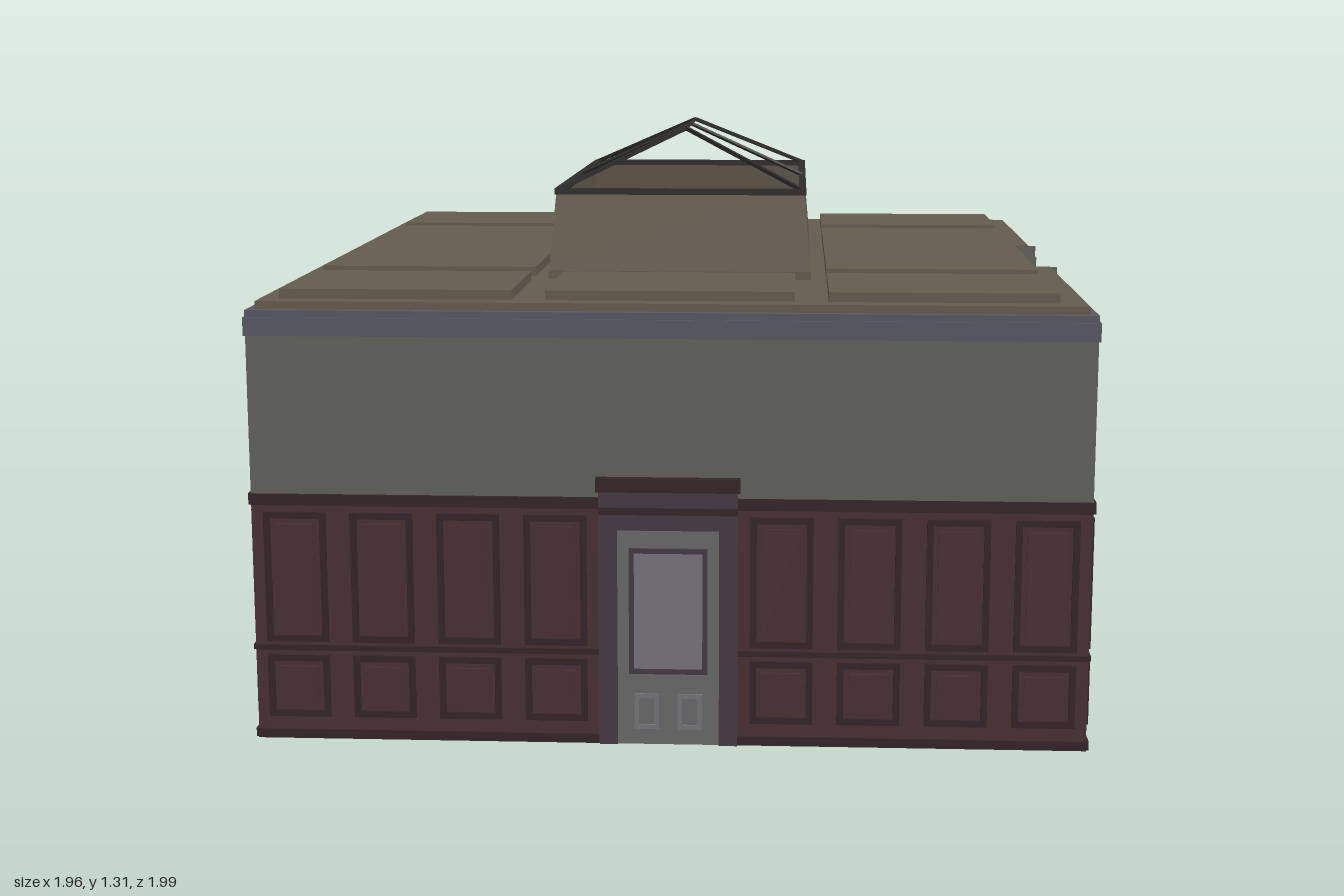
import * as THREE from 'three';

const mat = (color) => new THREE.MeshStandardMaterial({ color, side: THREE.DoubleSide, flatShading: true });
const M = {
  wood: mat(0x4a3135), trim: mat(0x352529), plaster: mat(0x62625c), cornice: mat(0x575862),
  roof: mat(0x655b4e), metal: mat(0x2e2d2b), floor: mat(0x2b2a2a), stone: mat(0x858580),
  door: mat(0x6b6a6b), doorWood: mat(0x4b2f1c), mauve: mat(0x463a43), brown: mat(0x40261c),
  glass: mat(0x77757a), lamp: mat(0xaaaaaa),
};
const HX = 0.905, HZ = 0.975, T = 0.02, RAIL = 0.55, TOP = 0.9;
const NOTCH = 0.235, BREAST = 0.835;

function add(parent, name, geo, material) {
  const m = new THREE.Mesh(geo, material);
  m.name = name;
  parent.add(m);
  return m;
}
// Box given by its limits on each axis
function box(parent, name, material, x0, x1, y0, y1, z0, z1) {
  const m = add(parent, name, new THREE.BoxGeometry(x1 - x0, y1 - y0, z1 - z0), material);
  m.position.set((x0 + x1) / 2, (y0 + y1) / 2, (z0 + z1) / 2);
  return m;
}
const rectPath = (x0, x1, y0, y1, C = THREE.Path) => new C(
  [[x0, y0], [x1, y0], [x1, y1], [x0, y1]].map((p) => new THREE.Vector2(...p)));
// Rectangular picture-frame moulding in the local xy plane
function frame(parent, name, material, x0, x1, y0, y1, w, z0, z1) {
  const s = rectPath(x0, x1, y0, y1, THREE.Shape);
  s.holes.push(rectPath(x0 + w, x1 - w, y0 + w, y1 - w));
  const m = add(parent, name, new THREE.ExtrudeGeometry(s, { depth: z1 - z0, bevelEnabled: false }), material);
  m.position.z = z0;
}
function rod(parent, name, a, b, r, material, sides = 4) {
  const p = new THREE.Vector3(...a), q = new THREE.Vector3(...b), d = q.clone().sub(p);
  const m = add(parent, name, new THREE.CylinderGeometry(r, r, d.length(), sides), material);
  m.position.copy(p).add(q).multiplyScalar(0.5);
  m.quaternion.setFromUnitVectors(new THREE.Vector3(0, 1, 0), d.normalize());
}
// Horizontal slab from a plan shape
function slab(parent, name, shape, y0, y1, material) {
  const g = new THREE.ExtrudeGeometry(shape, { depth: y1 - y0, bevelEnabled: false }).rotateX(-Math.PI / 2);
  add(parent, name, g, material).position.y = y0;
}
// Room plan with the chimney notch in its left side
function plan(grow) {
  const x = HX + grow, z = HZ + grow;
  return new THREE.Shape([[-x, -z], [x, -z], [x, -NOTCH], [BREAST, -NOTCH], [BREAST, NOTCH], [x, NOTCH], [x, z], [-x, z]]
    .map((p) => new THREE.Vector2(...p)));
}
// Wall piece, split into panelling and plaster; outer face at local z = 0
function wallPiece(g, x0, x1, y0, y1) {
  if (y0 < RAIL) box(g, 'wainscot', M.wood, x0, x1, y0, Math.min(y1, RAIL), -T, 0);
  if (y1 > RAIL) box(g, 'upperWall', M.plaster, x0, x1, Math.max(y0, RAIL), y1, -T, 0);
}
// Row of raised panels with rails above, between and below
function panelling(g, x0, x1, count, skip = () => false) {
  const step = (x1 - x0) / count;
  for (let i = 0; i < count; i++) {
    const a = x0 + i * step + step * 0.14, b = x0 + (i + 1) * step - step * 0.14;
    for (const [y0, y1] of [[0.05, 0.19], [0.22, 0.51]]) {
      if (y0 > 0.2 && skip(a, b)) continue;
      frame(g, 'panelMoulding', M.trim, a, b, y0, y1, 0.014, -T - 0.007, 0.007);
      box(g, 'panelField', M.wood, a + 0.026, b - 0.026, y0 + 0.026, y1 - 0.026, -T - 0.005, 0.005);
    }
  }
  box(g, 'skirting', M.trim, x0, x1, 0, 0.02, -T - 0.008, 0.006);
  if (count < 8) box(g, 'chairRail', M.trim, x0, x1, 0.525, RAIL, -T - 0.01, 0.006);
  box(g, 'middleRail', M.trim, x0, x1, 0.2, 0.212, -T - 0.006, 0.005);
}
function side(parent, name, angle, dist) {
  const g = new THREE.Group();
  g.name = name;
  g.rotation.y = angle;
  g.position.set(Math.sin(angle) * dist, 0, Math.cos(angle) * dist);
  parent.add(g);
  return g;
}
// End wall with a central door
function doorWall(parent, name, angle, leaf, pane) {
  const g = side(parent, name, angle, HZ);
  wallPiece(g, -HX, HX, 0, TOP);
  panelling(g, -HX, -0.15, 4);
  panelling(g, 0.15, HX, 4);
  for (const s of [-1, 1]) box(g, 'doorJamb', M.mauve, s * 0.13 - 0.02, s * 0.13 + 0.02, 0, 0.52, -T - 0.012, 0.012);
  box(g, 'doorHead', M.mauve, -0.15, 0.15, 0.48, 0.57, -T - 0.012, 0.012);
  box(g, 'doorCornice', M.trim, -0.155, 0.155, 0.565, 0.595, -T - 0.02, 0.02);
  box(g, 'doorLintel', M.trim, -0.15, 0.15, 0.515, 0.53, -T - 0.016, 0.016);
  box(g, 'doorLeaf', leaf, -0.11, 0.11, 0, 0.48, -T - 0.006, 0.006);
  frame(g, 'doorPaneFrame', M.mauve, -0.085, 0.085, 0.16, 0.44, 0.011, -T - 0.011, 0.011);
  box(g, 'doorPane', pane, -0.074, 0.074, 0.171, 0.429, -T - 0.008, 0.008);
  for (const s of [-1, 1]) frame(g, 'doorPanel', pane, s * 0.047 - 0.027, s * 0.047 + 0.027, 0.035, 0.115, 0.01, -T - 0.01, 0.01);
}
// Window bay projecting from the wall, open between the bars
function windowBay(g, c) {
  const w = 0.125, y0 = 0.25, y1 = 0.77;
  frame(g, 'windowCasing', M.wood, c - w, c + w, y0, y1, 0.022, -T - 0.01, 0.06);
  frame(g, 'windowFrame', M.trim, c - w + 0.015, c + w - 0.015, y0 + 0.015, y1 - 0.015, 0.02, 0.045, 0.072);
  box(g, 'windowHead', M.trim, c - w - 0.01, c + w + 0.01, y1 - 0.03, y1 + 0.01, -T - 0.015, 0.055);
  box(g, 'windowSill', M.trim, c - w - 0.008, c + w + 0.008, y0 - 0.005, y0 + 0.02, -T - 0.015, 0.07);
  for (const x of [-0.034, 0.034]) box(g, 'windowBar', M.trim, c + x - 0.005, c + x + 0.005, y0, y1, 0.05, 0.064);
  for (let i = 1; i < 5; i++) {
    const y = y0 + (y1 - y0) * i / 5;
    box(g, 'windowBar', M.trim, c - w + 0.01, c + w - 0.01, y - 0.005, y + 0.005, 0.05, 0.064);
  }
}
function fireplace(parent) {
  // Chimney breast set into the room
  const g = side(parent, 'fireplace', Math.PI / 2, BREAST);
  for (const s of [-1, 1]) box(g, 'breastReturn', M.plaster, s * NOTCH - 0.006, s * NOTCH + 0.006, 0, 0.965, -T, HX - BREAST);
  const arch = (w, h, C, y = 0.02) => new C([[-w, y], [w, y], [w, h - 0.03], [w * 0.8, h - 0.008], [0, h], [-w * 0.8, h - 0.008], [-w, h - 0.03]]
    .map((p) => new THREE.Vector2(...p)));
  const surround = rectPath(-NOTCH, NOTCH, 0, 0.33, THREE.Shape);
  surround.holes.push(arch(0.165, 0.29, THREE.Path));
  add(g, 'stoneSurround', new THREE.ExtrudeGeometry(surround, { depth: 0.03, bevelEnabled: false }), M.stone).position.z = -0.03;
  // Hollow firebox with a flue block on top
  const shell = arch(0.175, 0.3, THREE.Shape);
  shell.holes.push(arch(0.165, 0.29, THREE.Path, 0.03));
  add(g, 'fireboxShell', new THREE.ExtrudeGeometry(shell, { depth: 0.14, bevelEnabled: false }), M.stone);
  add(g, 'fireboxBack', new THREE.ExtrudeGeometry(arch(0.175, 0.3, THREE.Shape), { depth: 0.01, bevelEnabled: false }), M.stone).position.z = 0.14;
  box(g, 'flueBlock', M.stone, -0.152, 0.152, 0.28, 0.36, 0, 0.135);
  box(g, 'hearth', M.stone, -NOTCH, NOTCH, 0, 0.02, -0.14, 0.06);
  // Mantel, mirror and upper panels
  box(g, 'overmantel', M.wood, -NOTCH, NOTCH, 0.33, 0.75, -0.03, 0);
  box(g, 'mantelShelf', M.trim, -NOTCH, NOTCH, 0.44, 0.465, -0.09, 0.008);
  box(g, 'mantelPost', M.trim, -0.012, 0.012, 0.35, 0.45, -0.036, 0.006);
  frame(g, 'mirrorFrame', M.trim, -0.2, 0.2, 0.465, 0.745, 0.02, -0.05, 0.02);
  frame(g, 'mirrorInnerFrame', M.glass, -0.18, 0.18, 0.485, 0.725, 0.015, -0.04, 0.012);
  box(g, 'mirror', M.glass, -0.165, 0.165, 0.5, 0.71, -0.035, 0.006);
  box(g, 'upperPanelBack', M.brown, -NOTCH, NOTCH, 0.75, 0.965, -0.03, 0);
  for (const s of [-1, 1]) frame(g, 'upperPanel', M.trim, s * 0.108 - 0.1, s * 0.108 + 0.1, 0.76, 0.96, 0.012, -0.04, 0.01);
}
function skylight(parent) {
  const g = new THREE.Group();
  g.name = 'skylight';
  parent.add(g);
  // Sloping curb: four-sided tube stretched to the opening
  const geo = new THREE.CylinderGeometry(1, 1, 1, 4, 1, true).rotateY(Math.PI / 4).toNonIndexed();
  const p = geo.attributes.position;
  for (let i = 0; i < p.count; i++) {
    const up = p.getY(i) > 0;
    p.setXYZ(i, Math.sign(p.getX(i)) * (up ? 0.288 : 0.305), up ? 1.168 : 0.975, Math.sign(p.getZ(i)) * (up ? 0.5 : 0.532));
  }
  geo.computeVertexNormals();
  add(g, 'skylightCurb', geo, M.roof);
  const base = rectPath(-0.305, 0.305, -0.532, 0.532, THREE.Shape);
  base.holes.push(rectPath(-0.28, 0.28, -0.5, 0.5));
  slab(g, 'skylightBase', base, 0.965, 0.985, M.roof);
  const rim = rectPath(-0.292, 0.292, -0.506, 0.506, THREE.Shape);
  rim.holes.push(rectPath(-0.275, 0.275, -0.488, 0.488));
  slab(g, 'skylightRim', rim, 1.16, 1.174, M.metal);
  // Open hipped frame
  rod(g, 'ridgeBar', [0, 1.3, -0.235], [0, 1.3, 0.235], 0.006, M.metal);
  for (const x of [-0.285, 0.285]) {
    for (const s of [-1, 1]) rod(g, 'hipBar', [x, 1.17, s * 0.497], [0, 1.3, s * 0.235], 0.006, M.metal);
    rod(g, 'rafterBar', [x, 1.17, 0], [0, 1.3, 0], 0.005, M.metal);
  }
}

export function createModel() {
  const model = new THREE.Group();
  model.name = 'panelledRoom';
  const room = new THREE.Group();
  room.name = 'room';
  room.position.set(-0.008, 0, 0.003);
  model.add(room);

  slab(room, 'floor', plan(-0.002), 0.002, 0.012, M.floor);
  doorWall(room, 'frontWall', 0, M.door, M.glass);
  doorWall(room, 'backWall', Math.PI, M.mauve, M.doorWood);

  // Left wall, broken by the chimney
  const left = side(room, 'leftWall', Math.PI / 2, HX);
  for (const [a, b] of [[-HZ, -NOTCH], [NOTCH, HZ]]) {
    wallPiece(left, a, b, 0, TOP);
    panelling(left, a, b, 4);
  }
  fireplace(room);

  // Right wall with three window bays
  const right = side(room, 'rightWall', -Math.PI / 2, HX);
  const centres = [-0.53, 0, 0.53], hw = 0.12;
  let edge = -HZ;
  for (const c of [...centres, null]) {
    const end = c === null ? HZ : c - hw;
    wallPiece(right, edge, end, 0, TOP);
    box(right, 'chairRail', M.trim, edge, end, 0.525, RAIL, -T - 0.01, 0.006);
    if (c === null) break;
    wallPiece(right, c - hw, c + hw, 0, 0.255);
    wallPiece(right, c - hw, c + hw, 0.765, TOP);
    windowBay(right, c);
    edge = c + hw;
  }
  panelling(right, -HZ, HZ, 11, (a, b) => centres.some((c) => b > c - 0.13 && a < c + 0.13));

  // Stepped cornice and coffered roof
  const opening = () => rectPath(-0.8, 0.8, -0.92, 0.92);
  [[0.004, 0.895, 0.935], [0, 0.935, 0.95]].forEach(([grow, y0, y1]) => {
    const s = plan(grow);
    s.holes.push(opening());
    slab(room, 'cornice', s, y0, y1, M.cornice);
  });
  const roof = plan(-0.018);
  roof.holes.push(rectPath(-0.28, 0.28, -0.5, 0.5));
  const xs = [[-0.845, -0.34], [-0.268, 0.268], [0.34, 0.83]], zs = [[-0.91, -0.57], [-0.485, 0.485], [0.57, 0.91]];
  xs.forEach(([x0, x1], i) => zs.forEach(([z0, z1], j) => {
    if (i === 1 && j === 1) return;
    roof.holes.push(rectPath(x0 + 0.006, x1 - 0.006, z0 + 0.006, z1 - 0.006));
    box(room, 'cofferPanel', M.roof, x0, x1, 0.963, 0.988, z0, z1);
  }));
  slab(room, 'roof', roof, 0.948, 0.967, M.roof);
  skylight(room);

  // Slim posts beside each door, on round feet
  for (const x of [-0.27, 0.27]) for (const z of [-0.87, 0.87]) {
    rod(room, 'postFoot', [x, 0, z], [x, 0.022, z], 0.03, M.lamp, 16);
    rod(room, 'post', [x, 0.02, z], [x, 0.2, z], 0.006, M.lamp, 8);
  }
  return model;
}
